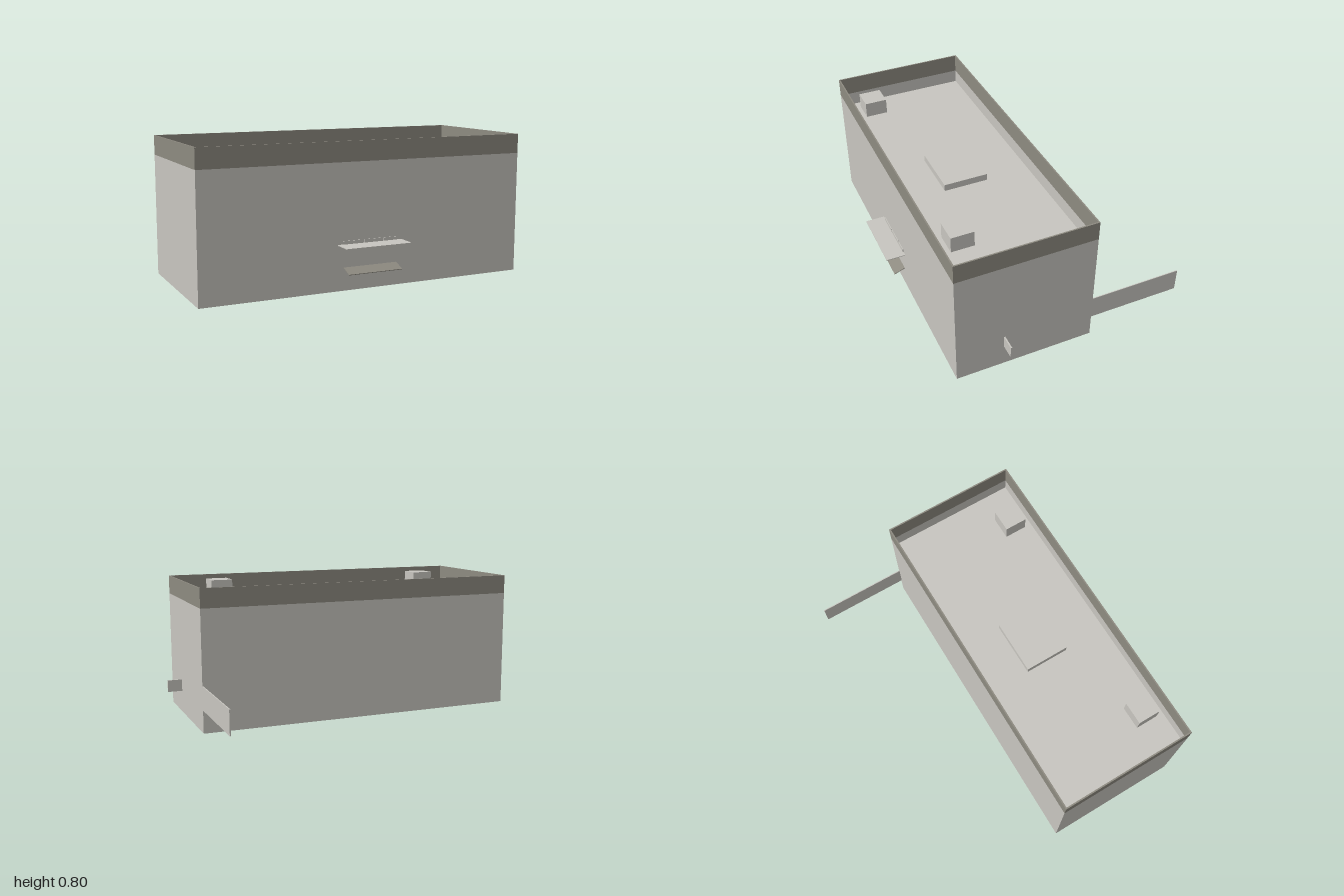
import * as THREE from 'three';

const light = new THREE.MeshStandardMaterial({ name: 'pale wall', color: 0xc8c6c0 });
const dark = new THREE.MeshStandardMaterial({ name: 'dark trim', color: 0x8e8b81 });

// Footprint of the building
const X0 = -1, X1 = 0.915, Z0 = -0.185, Z1 = 0.615;

export function createModel() {
  const model = new THREE.Group();
  model.name = 'building';

  const add = (name, geometry, material) => {
    const mesh = new THREE.Mesh(geometry, material);
    mesh.name = name;
    model.add(mesh);
    return mesh;
  };

  // Box given by its minimum and maximum on each axis
  const block = (name, [x0, x1], [y0, y1], [z0, z1], material = light) => {
    const g = new THREE.BoxGeometry(x1 - x0, y1 - y0, z1 - z0);
    g.translate((x0 + x1) / 2, (y0 + y1) / 2, (z0 + z1) / 2);
    return add(name, g, material);
  };

  // Thin wall running round the footprint
  const rectangle = (target, inset) => {
    const a = X0 + inset, b = X1 - inset, c = -Z1 + inset, d = -Z0 - inset;
    target.moveTo(a, c).lineTo(b, c).lineTo(b, d).lineTo(a, d).closePath();
    return target;
  };
  const ringWall = (name, y0, y1, material) => {
    const shape = rectangle(new THREE.Shape(), 0);
    shape.holes.push(rectangle(new THREE.Path(), 0.008));
    const g = new THREE.ExtrudeGeometry(shape, { depth: y1 - y0, bevelEnabled: false });
    g.rotateX(-Math.PI / 2).translate(0, y0, 0);
    return add(name, g, material);
  };

  // Main volume, its top is the sunken roof
  block('body', [X0, X1], [0, 0.61], [Z0, Z1]);
  ringWall('parapet', 0.61, 0.69, light);
  ringWall('parapetBand', 0.69, 0.8, dark);

  // Rooftop hatch and units
  block('roofHatch', [-0.2, 0.12], [0.61, 0.65], [0.085, 0.345]);
  for (const x of [-0.81, 0.57]) {
    block('roofUnit', [x, x + 0.13], [0.69, 0.78], [0.41, 0.54]);
  }

  // Canopy on the front with three small panels above it
  block('canopy', [-0.235, 0.15], [0.248, 0.252], [Z1, 0.727]);
  for (const [a, b] of [[-0.205, -0.082], [-0.075, 0.035], [0.04, 0.12]]) {
    block('canopyPanel', [a, b], [0.252, 0.27], [Z1, Z1 + 0.004]);
  }

  // Sloping ledge below the canopy
  const ledge = new THREE.BoxGeometry(0.32, 0.004, 0.07);
  ledge.rotateX(Math.atan2(0.025, 0.065)).translate(-0.04, 0.1125, 0.6475);
  add('ledge', ledge, dark);

  // Side fence running back and small sign on the side wall
  block('sideFence', [X1 - 0.006, X1], [0.13, 0.265], [-0.727, Z0]);
  block('sideSign', [X1, 1], [0.13, 0.2], [0.335, 0.343]);

  return model;
}
